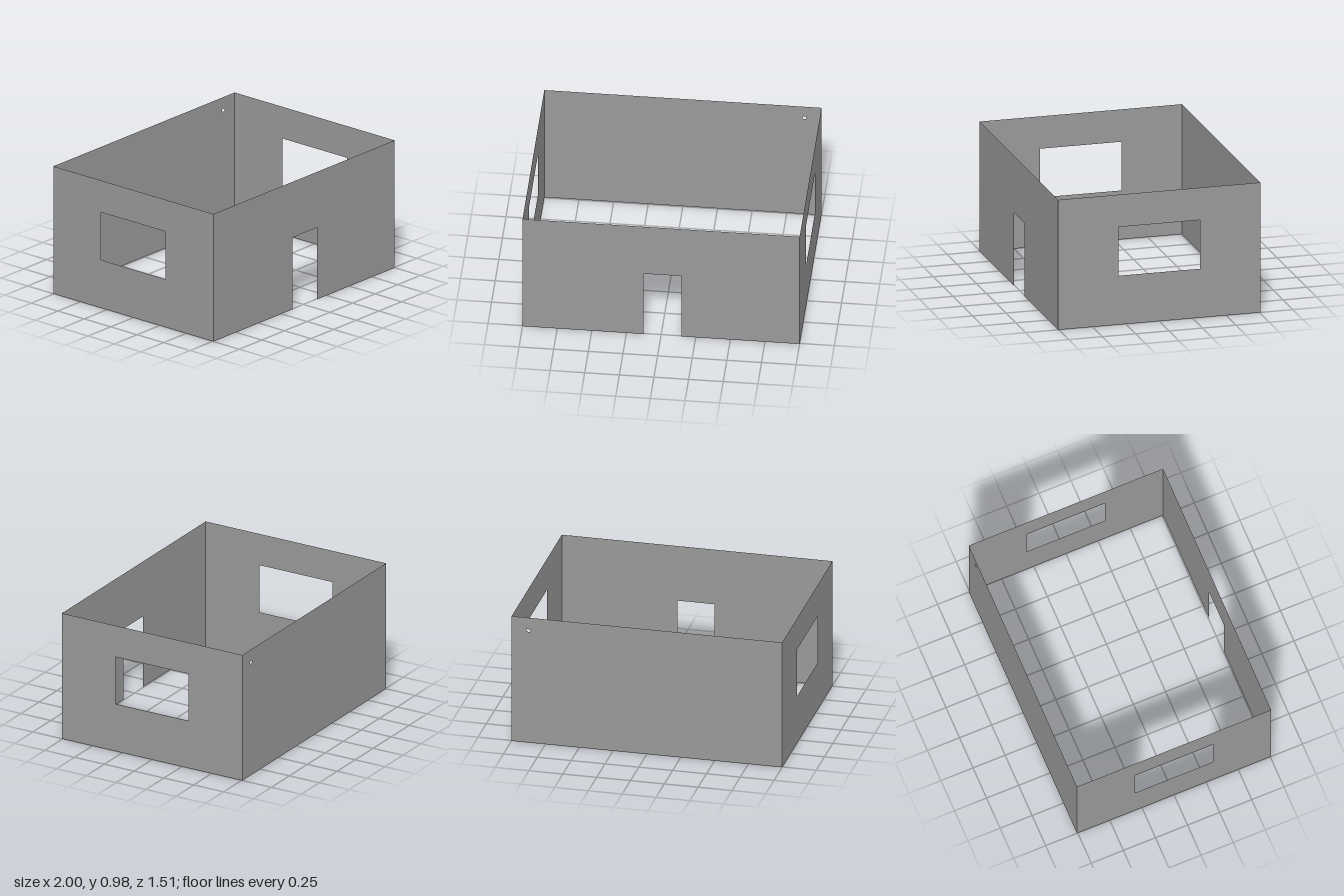
import * as THREE from 'three';

const W = 1, D = 0.756, H = 0.976; // half width, half depth, wall height

// Corner list of an upright rectangle
const rect = (x0, x1, y0, y1) =>
  [[x0, y0], [x1, y0], [x1, y1], [x0, y1]].map(([x, y]) => new THREE.Vector2(x, y));

export function createModel() {
  const house = new THREE.Group();
  house.name = 'roomShell';
  const plaster = new THREE.MeshStandardMaterial({ color: 0x999999, side: THREE.DoubleSide });
  plaster.name = 'grey plaster';

  // Paper-thin wall cut from an outline with optional openings
  function addWall(name, outline, holes, x, z, turn) {
    const shape = new THREE.Shape(outline);
    for (const hole of holes) shape.holes.push(new THREE.Path(hole));
    const wall = new THREE.Mesh(new THREE.ShapeGeometry(shape), plaster);
    wall.name = name;
    wall.position.set(x, 0, z);
    wall.rotation.y = turn;
    house.add(wall);
  }

  // Front wall, its outline stepping around the doorway
  const [d0, d1, doorTop] = [-0.128, 0.146, 0.549];
  const front = [[-W, 0], [d0, 0], [d0, doorTop], [d1, doorTop], [d1, 0], [W, 0], [W, H], [-W, H]]
    .map(([x, y]) => new THREE.Vector2(x, y));
  addWall('frontWall', front, [], 0, D, 0);

  // Back wall with a small vent high in one corner
  addWall('backWall', rect(-W, W, 0, H), [rect(0.862, 0.89, 0.866, 0.886)], 0, -D, 0);

  // Side walls, each with a wide window opening
  for (const [name, s] of [['leftWall', 1], ['rightWall', -1]]) {
    addWall(name, rect(-D, D, 0, H), [rect(-0.305, 0.305, 0.367, 0.733)], s * W, 0, s * Math.PI / 2);
  }
  return house;
}
